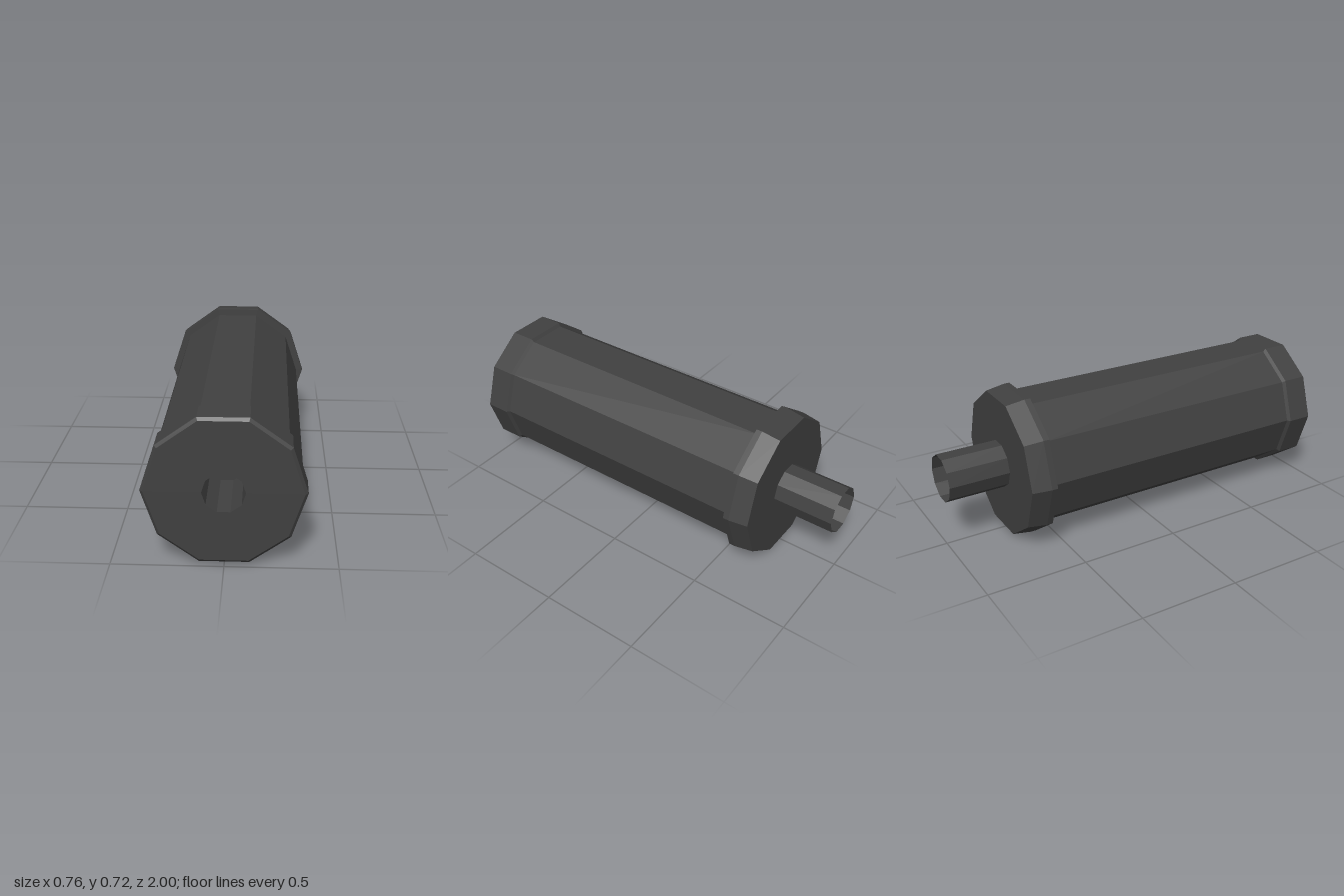
import * as THREE from 'three';

const SIDES = 10;
const CENTER_Y = 0.36;

export function createModel() {
  const group = new THREE.Group();
  const material = new THREE.MeshStandardMaterial({ color: 0x404040, flatShading: true, side: THREE.DoubleSide });

  // Ten-sided part turned about the z axis; profile is [radius, z], back to front
  function turned(name, profile) {
    const points = profile.map(([r, z]) => new THREE.Vector2(r, z));
    const geometry = new THREE.LatheGeometry(points, SIDES, Math.PI / 2);
    geometry.rotateX(Math.PI / 2);
    const mesh = new THREE.Mesh(geometry, material);
    mesh.name = name;
    mesh.position.y = CENTER_Y;
    group.add(mesh);
  }

  // Long main barrel
  turned('body', [[0.342, -0.58], [0.342, 0.86]]);

  // Front cap with bevelled rims and a blind central bore
  turned('frontCap', [
    [0.342, 0.85], [0.358, 0.862], [0.358, 0.988], [0.344, 1],
    [0.095, 1], [0.095, 0.7], [0, 0.7],
  ]);

  // Wider rear collar, tapering toward the back
  turned('rearCollar', [
    [0, -0.695], [0.363, -0.695], [0.378, -0.6], [0.378, -0.57], [0.34, -0.57],
  ]);

  // Thin open tube at the back
  turned('rearTube', [[0.118, -1], [0.118, -0.695]]);

  return group;
}
